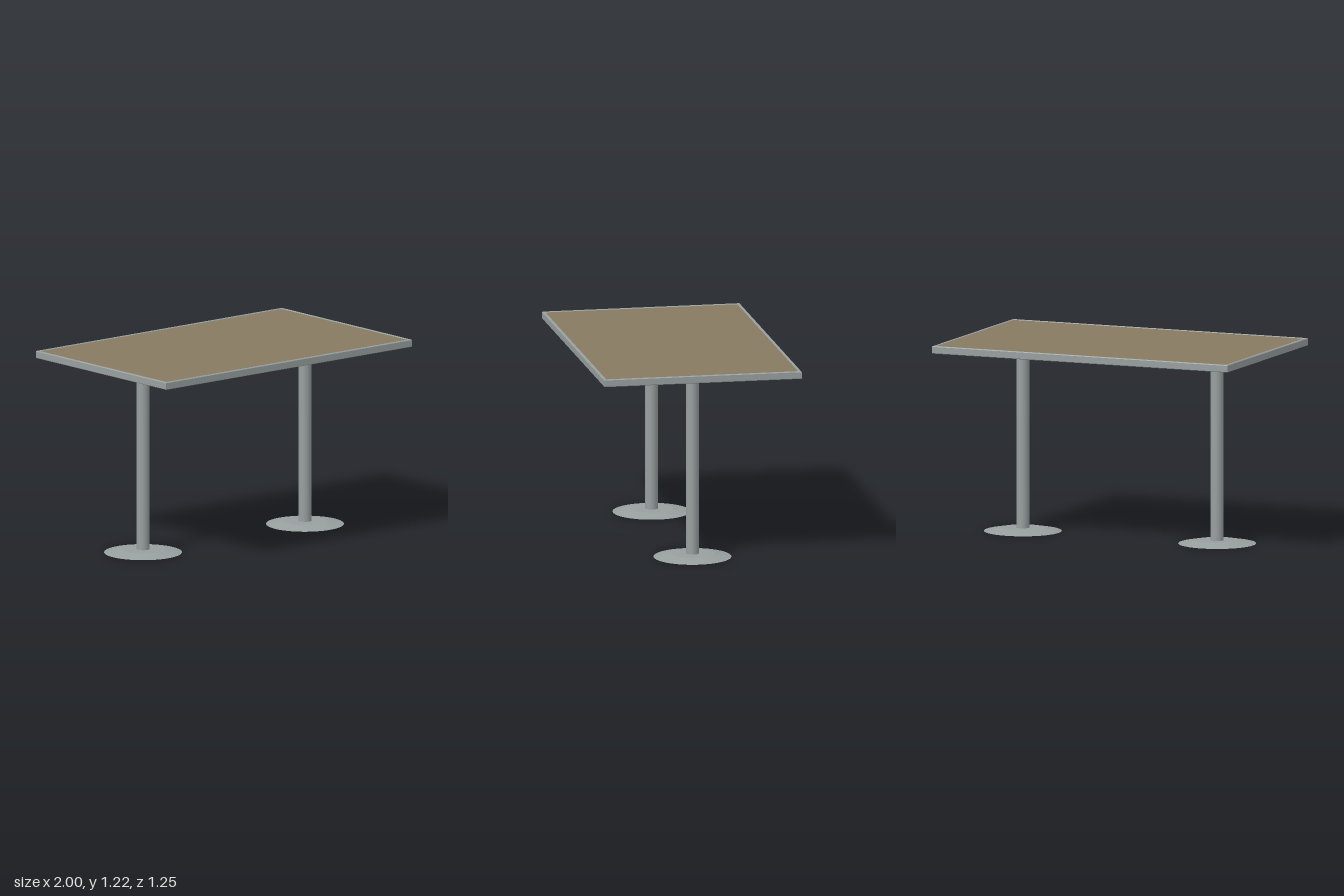
import * as THREE from 'three';

export function createModel() {
  const metal = new THREE.MeshStandardMaterial({ color: 0x989f9f });
  metal.name = 'greyMetal';
  const wood = new THREE.MeshStandardMaterial({ color: 0x877a60 });
  wood.name = 'brownTop';

  const table = new THREE.Group();
  table.name = 'table';

  const add = (name, geometry, material, x, y, z = 0) => {
    const mesh = new THREE.Mesh(geometry, material);
    mesh.name = name;
    mesh.position.set(x, y, z);
    table.add(mesh);
    return mesh;
  };

  const rectangle = (Type, hx, hz) => new Type([
    new THREE.Vector2(-hx, -hz), new THREE.Vector2(hx, -hz),
    new THREE.Vector2(hx, hz), new THREE.Vector2(-hx, hz),
  ]);

  // Metal rim with slightly eased edges around the table top
  const bevel = 0.004;
  const rimShape = rectangle(THREE.Shape, 1 - bevel, 0.625 - bevel);
  rimShape.holes.push(rectangle(THREE.Path, 0.98 + bevel, 0.605 + bevel));
  const rim = new THREE.ExtrudeGeometry(rimShape, {
    depth: 0.047 - 2 * bevel, bevelEnabled: true,
    bevelSize: bevel, bevelThickness: bevel, bevelSegments: 1,
  });
  rim.rotateX(-Math.PI / 2);
  add('tableRim', rim, metal, 0, 1.175 + bevel);

  // Panel set inside the rim
  add('tablePanel', new THREE.BoxGeometry(1.962, 0.041, 1.212), wood, 0, 1.1985);

  // Flat bar joining the two columns
  add('supportBar', new THREE.BoxGeometry(1.48, 0.016, 0.146), metal, 0, 1.147);

  // Columns on shallow round feet
  for (const [side, x] of [['left', 0.658], ['right', -0.658]]) {
    add(side + 'Column', new THREE.CylinderGeometry(0.04, 0.04, 1.14, 32), metal, x, 0.59);
    add(side + 'Foot', new THREE.CylinderGeometry(0.135, 0.242, 0.02, 48), metal, x, 0.01);
  }

  return table;
}
